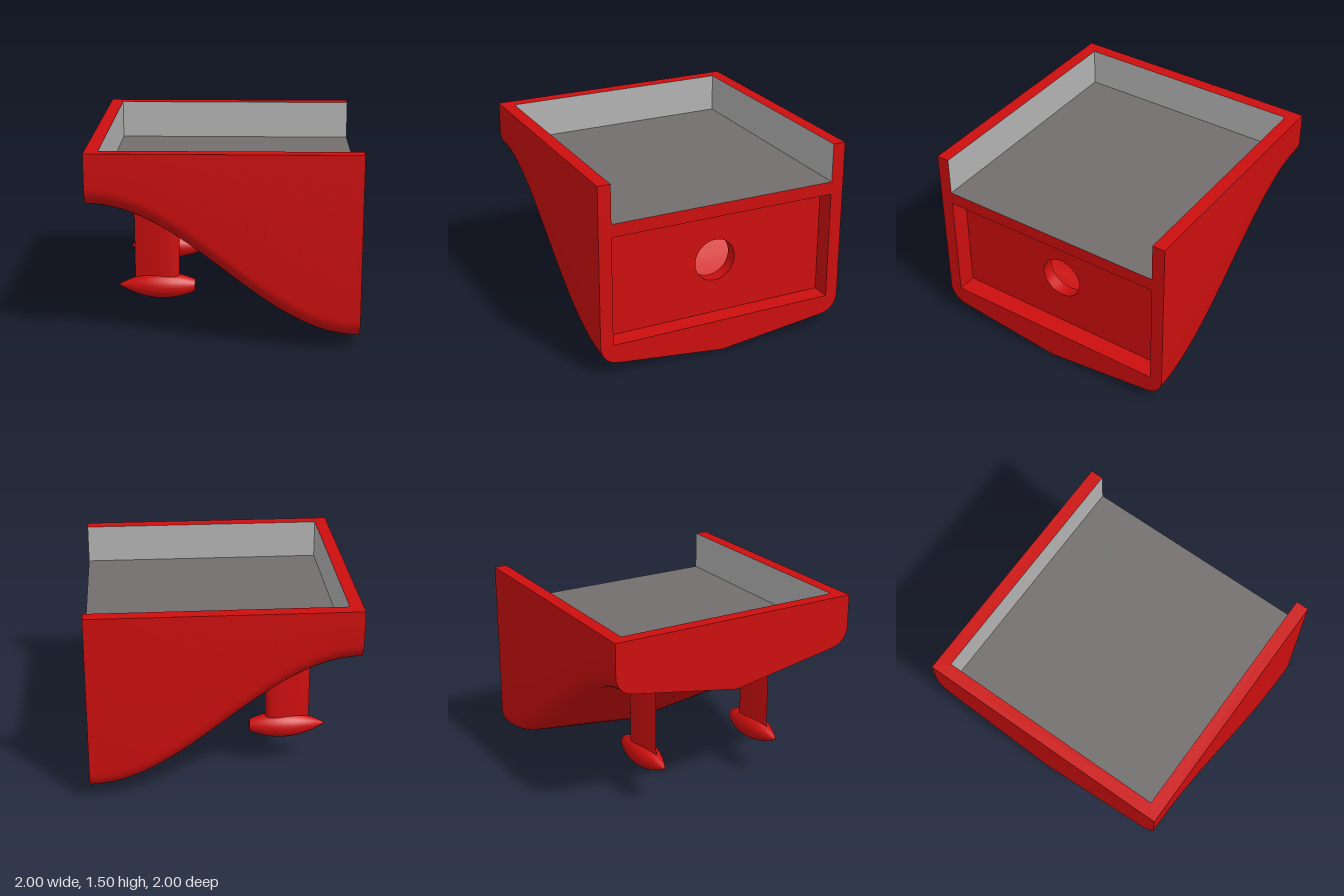
import * as THREE from 'three';
import { toCreasedNormals } from 'three/addons/utils/BufferGeometryUtils.js';

const mat = (color) => new THREE.MeshStandardMaterial({ color, side: THREE.DoubleSide });
const red = mat(0xcc0e0e), wallGrey = mat(0xb2b2b2), floorGrey = mat(0x726e6e);

// Surface through rows of [x, y, z] points
function loft(rows, crease = 0.6) {
  const n = rows[0].length, index = [];
  for (let i = 0; i < rows.length - 1; i++)
    for (let j = 0; j < n - 1; j++) {
      const a = i * n + j, b = a + n;
      index.push(a, a + 1, b, b, a + 1, b + 1);
    }
  const g = new THREE.BufferGeometry();
  g.setAttribute('position', new THREE.Float32BufferAttribute(rows.flat(2), 3));
  g.setIndex(index);
  return toCreasedNormals(g, crease);
}

const shapeOf = (pts) => new THREE.Shape(pts.map((p) => new THREE.Vector2(...p)));
const rect = (x0, y0, x1, y1) => [[x0, y0], [x1, y0], [x1, y1], [x0, y1]];

// Underside wave: 0 at the deep end (+x), 1 at the shallow end (-x)
const wave = (x) => (1 - Math.sin(x * Math.PI / 2)) / 2;

// Lower outline at x as [z, y]: rounded chines with a shallow V keel
function outline(x) {
  const t = wave(x), half = [];
  for (let i = 0; i <= 8; i++) {
    const a = (i / 8) * 1.45;
    half.push([0.85 + 0.15 * Math.cos(a), 0.25 + t - 0.15 * Math.sin(a)]);
  }
  return [...half, [0, 0.95 * t], ...half.map(([z, y]) => [-z, y]).reverse()];
}

export function createModel() {
  const model = new THREE.Group();
  const add = (name, geometry, material = red, parent = model) => {
    const m = new THREE.Mesh(geometry, material);
    m.name = name;
    parent.add(m);
    return m;
  };

  // Outer sides and wavy underside
  const rows = [];
  for (let i = 0; i <= 32; i++) {
    const x = -1 + i / 16;
    rows.push([[1, 1.5], ...outline(x), [-1, 1.5]].map(([z, y]) => [x, y, z]));
  }
  add('hull', loft(rows));

  // Shallow end wall
  add('endWall', new THREE.ShapeGeometry(shapeOf([[1, 1.5], ...outline(-1), [-1, 1.5]]))
    .rotateY(-Math.PI / 2).translate(-1, 0, 0));

  // Deep end: frame around the recess, notched where the tray is open
  const frame = shapeOf([[0.9, 1.2], [0.9, 1.5], [1, 1.5], ...outline(1),
    [-1, 1.5], [-0.9, 1.5], [-0.9, 1.2]]);
  frame.holes.push(shapeOf(rect(-0.9, 0.25, 0.9, 1.1)));
  add('openEndFrame', new THREE.ShapeGeometry(frame).rotateY(Math.PI / 2).translate(1, 0, 0));

  // Recess sides
  const ring = (x, y0) => [[0.9, y0], [0.9, 1.1], [-0.9, 1.1], [-0.9, y0], [0.9, y0]]
    .map(([z, y]) => [x, y, z]);
  add('recessSides', loft([ring(0.85, 0.25), ring(1, 0.25)]));

  // Recess panel with a round hole leading into a hollow
  const panel = shapeOf(rect(-0.9, 0.25, 0.9, 1.1));
  panel.holes.push(new THREE.Path().absarc(0, 0.68, 0.165, 0, Math.PI * 2, true));
  add('recessPanel', new THREE.ExtrudeGeometry(panel, { depth: 0.1, bevelEnabled: false, curveSegments: 24 })
    .rotateY(Math.PI / 2).translate(0.75, 0, 0));
  const hollow = [];
  for (let i = 0; i <= 10; i++) {
    const x = -0.49 + i * 0.124;
    hollow.push(ring(x, 0.25 + wave(x)));
  }
  add('hollow', loft(hollow));

  // Tray rim, floor and inner walls
  const rim = shapeOf([[-1, -1], [1, -1], [1, -0.9], [-0.9, -0.9], [-0.9, 0.9], [1, 0.9], [1, 1], [-1, 1]]);
  add('trayRim', new THREE.ShapeGeometry(rim).rotateX(-Math.PI / 2).translate(0, 1.5, 0));
  add('trayFloor', new THREE.PlaneGeometry(1.9, 1.8).rotateX(-Math.PI / 2).translate(0.05, 1.2, 0), floorGrey);
  const trayPath = [[1, 0.9], [-0.9, 0.9], [-0.9, -0.9], [1, -0.9]];
  add('trayWalls', loft([1.2, 1.5].map((y) => trayPath.map(([x, z]) => [x, y, z]))), wallGrey);

  // Streamlined strut section and spindle pod, one pair on each side
  const strut = new THREE.Shape();
  strut.moveTo(-0.69, 0);
  strut.bezierCurveTo(-0.58, 0.04, -0.35, 0.1, -0.35, 0);
  strut.bezierCurveTo(-0.35, -0.1, -0.58, -0.04, -0.69, 0);
  const strutGeo = toCreasedNormals(
    new THREE.ExtrudeGeometry(strut, { depth: 0.65, bevelEnabled: false, curveSegments: 14 })
      .rotateX(-Math.PI / 2).translate(0, 0.35, 0), 0.6);

  const profile = [];
  for (let i = 0; i <= 16; i++) {
    const x = -0.82 + (0.59 * i) / 16;
    profile.push(new THREE.Vector2(Math.max(0, 0.1 * (1 - ((x + 0.48) / 0.34) ** 2)), x));
  }
  profile.push(new THREE.Vector2(0, -0.23));
  const podGeo = toCreasedNormals(
    new THREE.LatheGeometry(profile, 24).rotateZ(-Math.PI / 2).translate(0, 0.35, 0), 0.6);

  for (const [side, z] of [['front', 0.5], ['back', -0.5]]) {
    const leg = new THREE.Group();
    leg.name = side + 'Leg';
    leg.position.z = z;
    add(side + 'Strut', strutGeo, red, leg);
    add(side + 'Pod', podGeo, red, leg);
    model.add(leg);
  }
  return model;
}
